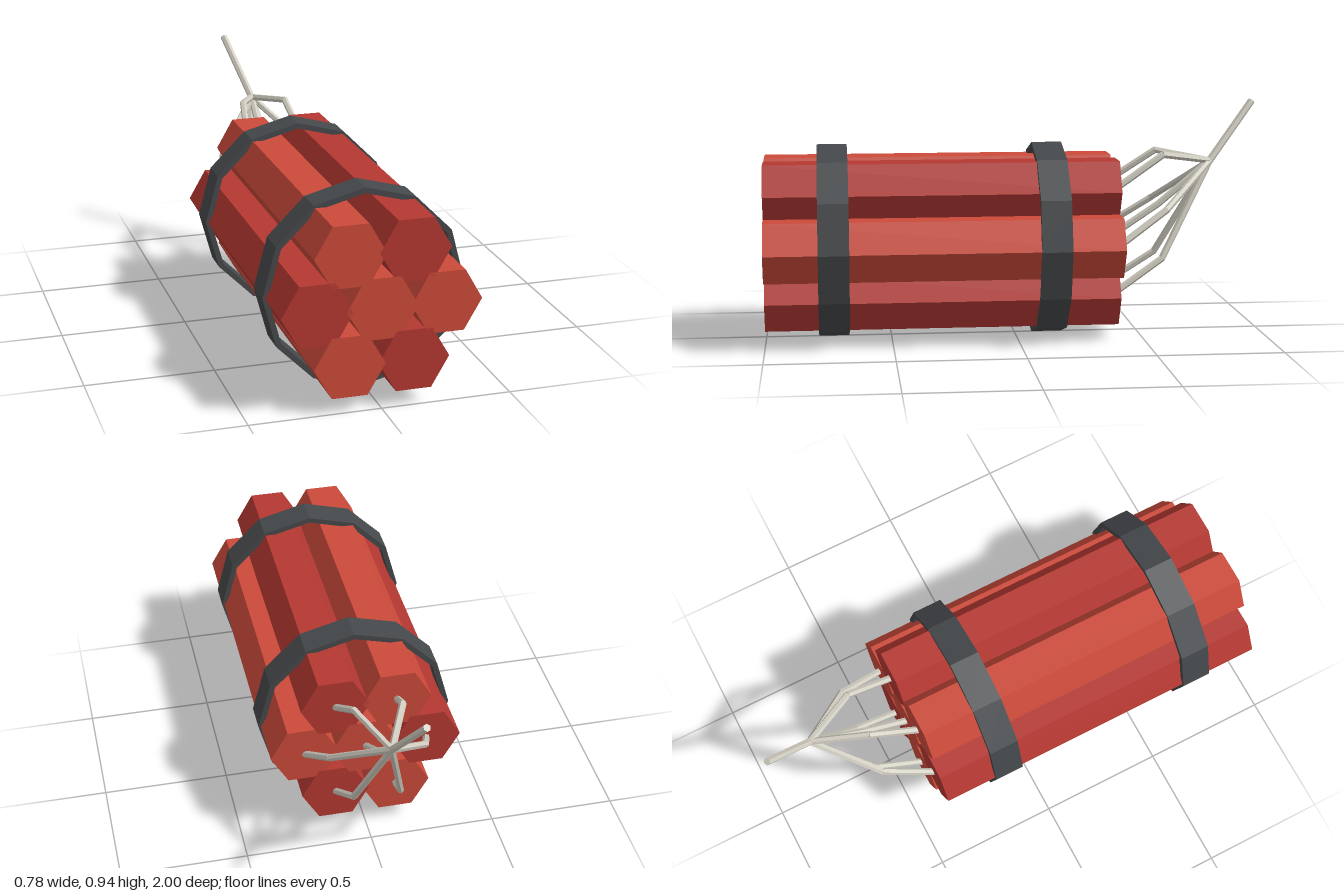
import * as THREE from 'three';

const material = (color) => new THREE.MeshStandardMaterial({ color, flatShading: true });
const lightRed = material(0xcc4a3a);
const darkRed = material(0xb53832);
const strapGrey = material(0x45484b);
const cord = material(0xd2cec2);

const CENTRE_Y = 0.39;
const UP = new THREE.Vector3(0, 1, 0);

// Straight six-sided piece of cord between two points
function cordPiece(a, b, radius) {
  const dir = b.clone().sub(a);
  const length = dir.length();
  const mesh = new THREE.Mesh(new THREE.CylinderGeometry(radius, radius, length + 0.006, 6), cord);
  mesh.position.copy(a).addScaledVector(dir, 0.5);
  mesh.quaternion.setFromUnitVectors(UP, dir.normalize());
  return mesh;
}

// Regular twelve-sided outline with a corner at the top
function outline(target, radius) {
  const points = [];
  for (let i = 0; i < 12; i++) {
    const a = (i * Math.PI) / 6;
    points.push(new THREE.Vector2(Math.cos(a) * radius, Math.sin(a) * radius));
  }
  return target.setFromPoints(points);
}

export function createModel() {
  const model = new THREE.Group();

  // Hexagonal sticks: one in the middle and six around it
  const stickGeometry = new THREE.CylinderGeometry(0.135, 0.135, 1.4, 6, 1, false, Math.PI / 6);
  stickGeometry.rotateX(Math.PI / 2);
  const centres = [[0, CENTRE_Y]];
  for (let i = 0; i < 6; i++) {
    const a = (i * Math.PI) / 3;
    centres.push([Math.cos(a) * 0.243, CENTRE_Y + Math.sin(a) * 0.243]);
  }
  const knot = new THREE.Vector3(0, 0.695, -0.8);
  centres.forEach(([x, y], i) => {
    const stick = new THREE.Mesh(stickGeometry, i > 0 && i % 2 === 0 ? darkRed : lightRed);
    stick.name = 'stick' + i;
    stick.position.set(x, y, 0.3);
    model.add(stick);

    // Bent fuse from the back of the stick to the knot
    const fuse = new THREE.Group();
    fuse.name = 'fuse' + i;
    const start = new THREE.Vector3(x, y, -0.395);
    const bend = new THREE.Vector3(x * 0.76, y + 0.13, -0.59);
    fuse.add(cordPiece(start, bend, 0.014), cordPiece(bend, knot, 0.014));
    model.add(fuse);
  });

  // Main fuse rising from the knot
  const mainFuse = cordPiece(knot, new THREE.Vector3(-0.075, 0.928, -0.985), 0.015);
  mainFuse.name = 'mainFuse';
  model.add(mainFuse);

  // Two straps around the bundle
  const ring = outline(new THREE.Shape(), 0.388);
  ring.holes.push(outline(new THREE.Path(), 0.366));
  const strapGeometry = new THREE.ExtrudeGeometry(ring, { depth: 0.12, bevelEnabled: false });
  [['frontStrap', 0.67], ['backStrap', -0.19]].forEach(([name, z]) => {
    const strap = new THREE.Mesh(strapGeometry, strapGrey);
    strap.name = name;
    strap.position.set(0, CENTRE_Y, z);
    model.add(strap);
  });

  return model;
}
